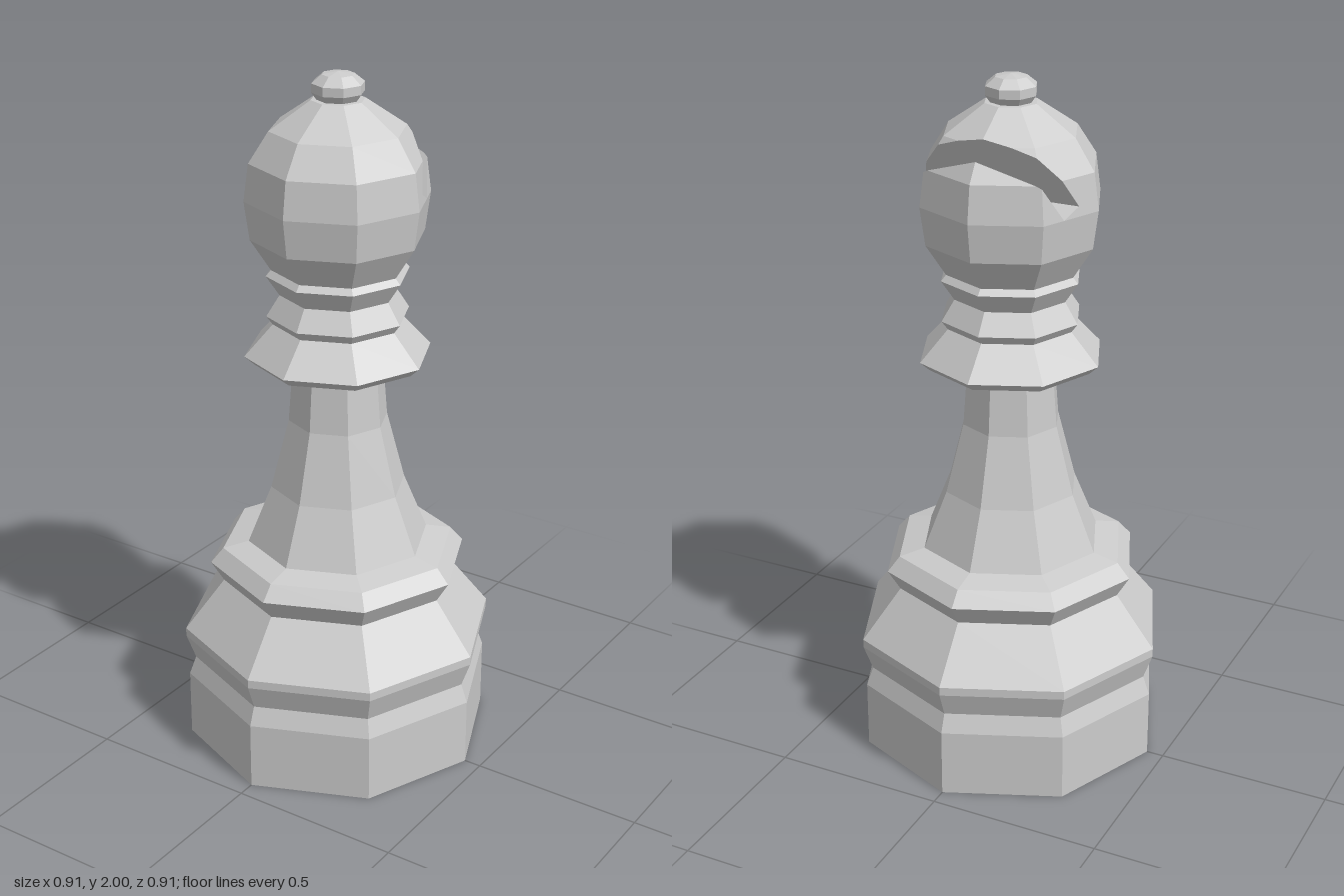
import * as THREE from 'three';

const material = new THREE.MeshStandardMaterial({ color: 0xcccccc, flatShading: true, side: THREE.DoubleSide });

// Eight-sided turned shape from [radius, height] pairs, bottom to top
const turned = (profile) =>
  new THREE.LatheGeometry(profile.map(([r, y]) => new THREE.Vector2(r, y)), 8);

// Part of a convex polygon on one side of a plane (sign 1: in front, -1: behind)
function clip(poly, plane, sign) {
  const out = [];
  poly.forEach((p, i) => {
    const q = poly[(i + 1) % poly.length];
    const dp = sign * plane.distanceToPoint(p);
    const dq = sign * plane.distanceToPoint(q);
    if (dp >= 0) out.push(p);
    if ((dp > 0 && dq < 0) || (dp < 0 && dq > 0)) out.push(p.clone().lerp(q, dp / (dp - dq)));
  });
  return out;
}

// Cuts a groove, running along x, out of a convex solid
function cutSlot(geometry, corners) {
  const flat = geometry.toNonIndexed().getAttribute('position');
  const faces = [];
  for (let i = 0; i < flat.count; i += 3) {
    const tri = [0, 1, 2].map((k) => new THREE.Vector3().fromBufferAttribute(flat, i + k));
    if (new THREE.Triangle(...tri).getArea() > 1e-6) faces.push(tri);
  }
  const hull = faces.map((f) => new THREE.Plane().setFromCoplanarPoints(...f));

  // Groove walls, each facing into the groove
  const walls = corners.slice(1).map(([zb, yb], i) => {
    const [za, ya] = corners[i];
    return [[-1, ya, za], [1, ya, za], [1, yb, zb], [-1, yb, zb]].map((p) => new THREE.Vector3(...p));
  });
  const planes = walls.map((w) => new THREE.Plane().setFromCoplanarPoints(w[0], w[1], w[2]));

  const polys = [];
  // Outer skin that lies outside the groove
  for (const face of faces) {
    let rest = face;
    for (const plane of planes) {
      polys.push(clip(rest, plane, -1));
      rest = clip(rest, plane, 1);
    }
  }
  // Groove walls that lie inside the solid
  for (const wall of walls) polys.push(hull.reduce((p, plane) => clip(p, plane, -1), wall));

  const points = [];
  for (const p of polys) {
    for (let i = 1; i < p.length - 1; i++) points.push(p[0], p[i], p[i + 1]);
  }
  const result = new THREE.BufferGeometry().setFromPoints(points);
  result.computeVertexNormals();
  return result;
}

export function createModel() {
  const group = new THREE.Group();
  const add = (name, geometry) => {
    const mesh = new THREE.Mesh(geometry, material);
    mesh.name = name;
    group.add(mesh);
  };

  // Stepped foot
  add('base', turned([
    [0, 0], [0.45, 0], [0.45, 0.2], [0.43, 0.255], [0.457, 0.33], [0.457, 0.355],
    [0.34, 0.505], [0.377, 0.567], [0.34, 0.61], [0.265, 0.626], [0, 0.626],
  ]));

  // Tapering column
  add('stem', turned([[0.265, 0.626], [0.196, 0.795], [0.143, 1.0], [0.13, 1.17]]));

  // Rings under the head
  add('collar', turned([
    [0.13, 1.167], [0.24, 1.18], [0.267, 1.205], [0.185, 1.295], [0.203, 1.32],
    [0.165, 1.38], [0.203, 1.438], [0.188, 1.455],
  ]));

  // Rounded head with a slanted groove at the back, corners as [z, y]
  const head = turned([
    [0.188, 1.455], [0.245, 1.545], [0.26, 1.655], [0.246, 1.76], [0.19, 1.846],
    [0.075, 1.925], [0, 1.927],
  ]);
  add('head', cutSlot(head, [[-0.265, 2.032], [-0.063, 1.682], [-0.116, 1.655], [-0.304, 1.965]]));

  // Small knob on top
  add('finial', turned([[0.055, 1.92], [0.073, 1.945], [0.073, 1.97], [0.045, 1.993], [0, 2]]));

  return group;
}
